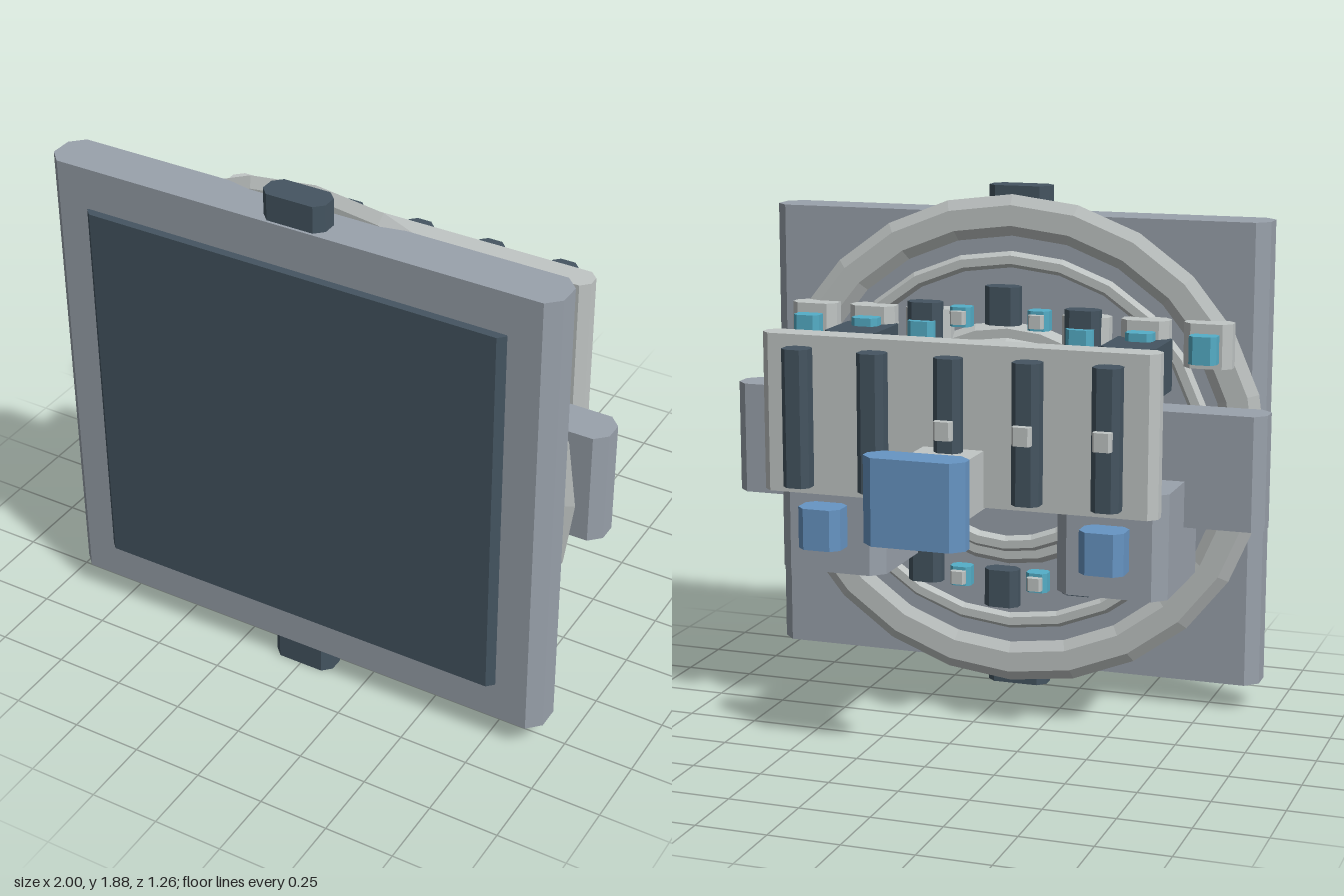
import * as THREE from 'three';

const mat = (name, color) => {
  const m = new THREE.MeshStandardMaterial({ color });
  m.name = name;
  m.flatShading = true;
  return m;
};

export function createModel() {
  const grey = mat('panel grey', 0x9aa2ac);
  const dark = mat('dark slate', 0x455561);
  const white = mat('off white', 0xc1c6c5);
  const blue = mat('blue', 0x6795c4);
  const cyan = mat('cyan', 0x55aec8);

  const model = new THREE.Group();
  model.name = 'panelAssembly';

  // Upright block with chamfered vertical edges, given by its ranges
  function block(name, material, [x0, x1], [y0, y1], [z0, z1], c) {
    const w = (x1 - x0) / 2, d = (z1 - z0) / 2;
    const shape = new THREE.Shape([
      [w - c, -d], [w, c - d], [w, d - c], [w - c, d],
      [c - w, d], [-w, d - c], [-w, c - d], [c - w, -d],
    ].map(([x, y]) => new THREE.Vector2(x, y)));
    const geo = new THREE.ExtrudeGeometry(shape, { depth: y1 - y0, bevelEnabled: false });
    geo.rotateX(-Math.PI / 2);
    const mesh = new THREE.Mesh(geo, material);
    mesh.name = name;
    mesh.position.set((x0 + x1) / 2, y0, (z0 + z1) / 2);
    model.add(mesh);
    return mesh;
  }
  const around = (v, half) => [v - half, v + half];

  // Flattened, slightly oval ring of hexagonal section
  function ring(name, outer, tube, xScale, z0, z1) {
    const geo = new THREE.TorusGeometry(outer - tube, tube, 6, 24);
    geo.scale(xScale, 1, (z1 - z0) / (2 * tube * Math.sin(Math.PI / 3)));
    const mesh = new THREE.Mesh(geo, white);
    mesh.name = name;
    mesh.position.set(0, 0.945, (z0 + z1) / 2);
    model.add(mesh);
  }

  // Front panel, screen and end caps
  block('frontPanel', grey, [-0.94, 0.94], [0.1, 1.79], [0.43, 0.6], 0.045);
  block('screen', dark, [-0.78, 0.78], [0.25, 1.64], [0.58, 0.63], 0.024);
  block('bottomCap', dark, [-0.115, 0.115], [0, 0.11], [0.48, 0.59], 0.03);
  block('topCap', dark, [-0.115, 0.115], [1.78, 1.885], [0.48, 0.59], 0.03);

  // Rings on the back of the panel
  ring('outerRing', 0.915, 0.075, 1.045, 0.405, 0.448);
  ring('middleRing', 0.71, 0.03, 1.07, 0.405, 0.44);
  ring('innerRing', 0.455, 0.045, 1.12, 0.375, 0.43);
  ring('hubRing', 0.4, 0.03, 1.12, 0.345, 0.39);

  // Crossbar, spine and tail block
  block('crossbar', grey, [-1, 1], [0.74, 1.15], [0.18, 0.325], 0.04);
  block('spine', white, [-0.11, 0.11], [0.845, 1.05], [-0.51, 0.2], 0.002);
  block('tailBlock', blue, [-0.18, 0.18], [0.795, 1.095], [-0.63, -0.505], 0.042);

  // Mirrored housings, thrusters and brackets
  for (const s of [-1, 1]) {
    block('sideHousing', grey, around(0.52 * s, 0.2), [0.53, 0.905], [-0.073, 0.41], 0.047);
    block('thruster', blue, around(0.52 * s, 0.08), [0.64, 0.79], [-0.197, -0.07], 0.03);
    block('bracket', dark, around(0.52 * s, 0.1), [1.19, 1.375], [0.115, 0.395], 0.03);
    for (const x of [0.3, 0.52, 0.75]) {
      block('mount', white, around(x * s, 0.088), [1.28, 1.44], [0.33, 0.43], 0.03);
      block('mountLight', cyan, around(x * s, 0.05), [1.305, 1.405], [0.26, 0.335], 0.018);
    }
  }

  // Rear rack with upright bars and small latches
  block('rack', white, [-0.72, 0.72], [0.85, 1.415], [-0.205, -0.105], 0.03);
  for (let i = -2; i <= 2; i++) {
    const x = i * 0.28;
    block('rackBar', dark, around(x, 0.049), [0.885, 1.375], [-0.293, i === 0 ? -0.22 : -0.205], 0.022);
    if (i <= 0) block('latch', white, around(x, 0.033), [1.1, 1.165], [-0.325, -0.29], 0.008);
  }

  // Circle of docking blocks with lights between them
  for (let i = 0; i < 12; i++) {
    const a = (i * Math.PI) / 6, b = a + Math.PI / 12;
    const y = 0.945 + 0.525 * Math.cos(a);
    block('dockBlock', dark, around(0.6 * Math.sin(a), 0.065), around(y, 0.07), [0.29, 0.37], 0.025);
    const lx = 0.57 * Math.sin(b), ly = 0.945 + 0.5 * Math.cos(b);
    block('dockLight', cyan, around(lx, 0.04), around(ly, 0.036), [0.265, 0.33], 0.015);
    block('dockLightTip', white, around(lx, 0.028), around(ly, 0.024), [0.238, 0.27], 0.008);
  }

  return model;
}
